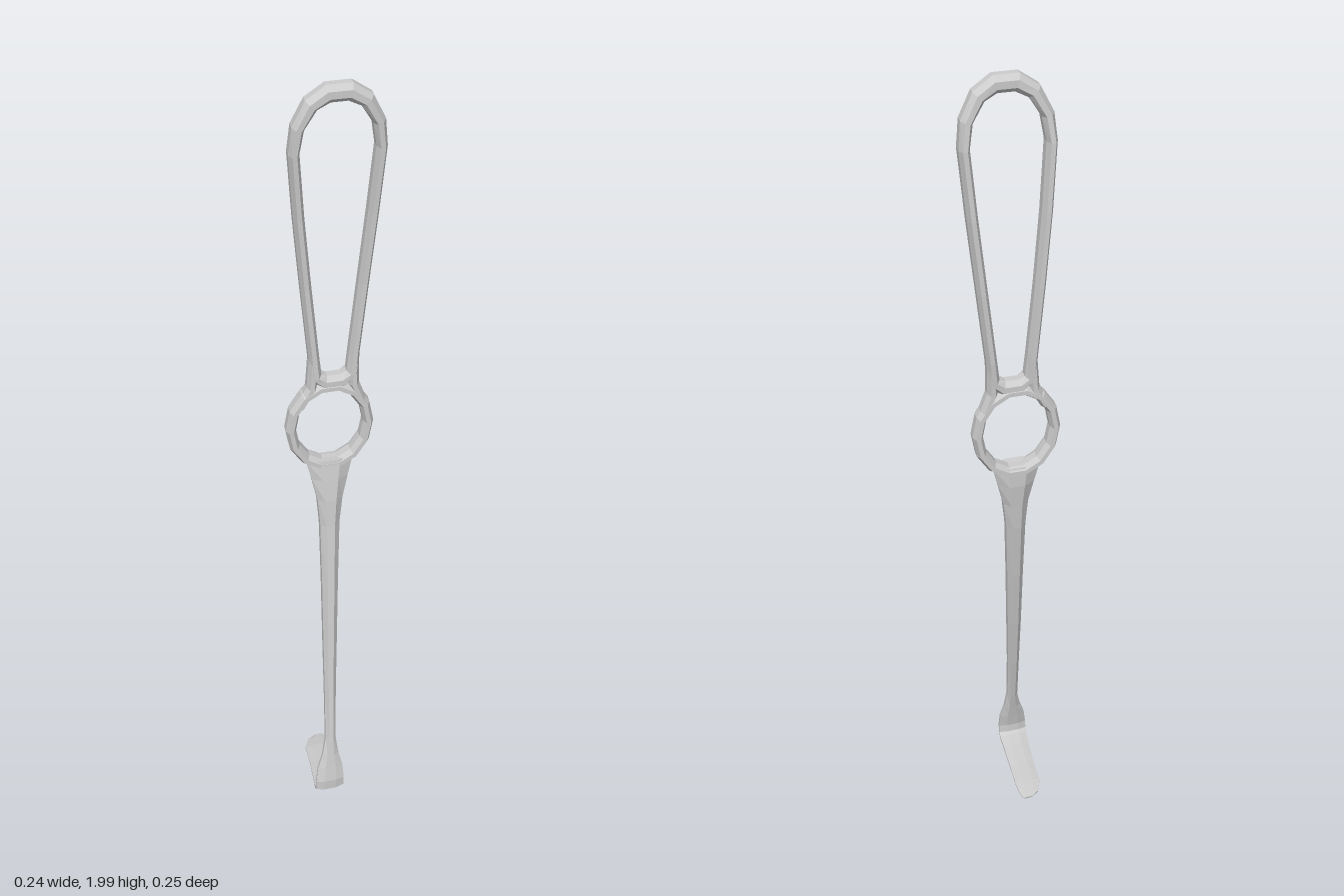
import * as THREE from 'three';

const SIDES = 8;
const material = new THREE.MeshStandardMaterial({ color: 0xcccccc, flatShading: true });

// Sweeps a chamfered section along rows of [x, y, z, half size on axis, half size across].
function sweep(name, rows, axis, closed) {
  const n = rows.length;
  const at = (i) => new THREE.Vector3(...rows[closed ? (i + n) % n : Math.min(Math.max(i, 0), n - 1)].slice(0, 3));
  const pos = [], index = [];
  rows.forEach((r, i) => {
    const t = at(i + 1).sub(at(i - 1)).normalize();
    const across = t.cross(axis).normalize();
    for (let j = 0; j < SIDES; j++) {
      const a = ((j + 0.5) / SIDES) * Math.PI * 2, k = 1 / Math.cos(Math.PI / SIDES);
      const p = at(i).addScaledVector(axis, Math.cos(a) * k * r[3]).addScaledVector(across, Math.sin(a) * k * r[4]);
      pos.push(p.x, p.y, p.z - 0.08 * p.x); // the whole tool is turned slightly about y
    }
  });
  for (let i = 0; i < (closed ? n : n - 1); i++) {
    for (let j = 0; j < SIDES; j++) {
      const k = (j + 1) % SIDES, m = (i + 1) % n;
      const a = i * SIDES + j, b = i * SIDES + k, c = m * SIDES + k, d = m * SIDES + j;
      index.push(a, b, d, b, c, d);
    }
  }
  if (!closed) {
    const e = (n - 1) * SIDES;
    for (let j = 1; j < SIDES - 1; j++) index.push(0, j + 1, j, e, e + j, e + j + 1);
  }
  const g = new THREE.BufferGeometry();
  g.setAttribute('position', new THREE.Float32BufferAttribute(pos, 3));
  g.setIndex(index);
  g.computeVertexNormals();
  const mesh = new THREE.Mesh(g, material);
  mesh.name = name;
  return mesh;
}

export function createModel() {
  const group = new THREE.Group();
  group.name = 'retractor';
  const X = new THREE.Vector3(1, 0, 0), Z = new THREE.Vector3(0, 0, 1);

  // Long tapered handle loop: half outline [half span, y, z, half depth, half width], mirrored
  const half = [
    [0.022, 1.243, -0.045, 0.026, 0.018],
    [0.045, 1.262, -0.045, 0.028, 0.015],
    [0.05, 1.32, -0.048, 0.029, 0.013],
    [0.069, 1.5, -0.05, 0.029, 0.013],
    [0.087, 1.68, -0.046, 0.031, 0.013],
    [0.1, 1.84, -0.037, 0.032, 0.013],
    [0.092, 1.9, -0.032, 0.03, 0.015],
    [0.063, 1.952, -0.028, 0.028, 0.018],
    [0.025, 1.975, -0.026, 0.025, 0.021],
  ];
  const lean = (y) => (y - 1.25) * 0.014;
  const right = half.map(([s, y, ...q]) => [lean(y) + s, y, ...q]);
  const left = half.map(([s, y, ...q]) => [lean(y) - s, y, ...q]).reverse();
  group.add(sweep('handleLoop', [...right, ...left], Z, true));

  // Finger ring
  const ring = [];
  for (let i = 0; i < 14; i++) {
    const a = (i / 14) * Math.PI * 2;
    ring.push([-0.011 + 0.097 * Math.cos(a), 1.12 + 0.113 * Math.sin(a), -0.045, 0.028, 0.013]);
  }
  group.add(sweep('fingerRing', ring, Z, true));

  // Shoulders joining the ring to the handle legs
  for (const s of [-1, 1]) {
    group.add(sweep('shoulder', [
      [-0.008 + s * 0.075, 1.185, -0.045, 0.027, 0.012],
      [-0.003 + s * 0.052, 1.232, -0.045, 0.027, 0.013],
      [s * 0.05, 1.3, -0.047, 0.027, 0.012],
    ], Z, false));
  }

  // Neck and slender curved shaft, flaring into the foot
  group.add(sweep('shaft', [
    [-0.012, 1.022, -0.043, 0.06, 0.024],
    [-0.012, 0.97, -0.038, 0.046, 0.028],
    [-0.013, 0.91, -0.03, 0.032, 0.029],
    [-0.015, 0.84, -0.023, 0.025, 0.029],
    [-0.019, 0.68, 0, 0.021, 0.028],
    [-0.024, 0.5, 0.028, 0.018, 0.025],
    [-0.029, 0.34, 0.057, 0.015, 0.021],
    [-0.033, 0.2, 0.085, 0.014, 0.016],
    [-0.035, 0.15, 0.095, 0.022, 0.013],
    [-0.037, 0.11, 0.103, 0.034, 0.011],
    [-0.039, 0.07, 0.111, 0.038, 0.01],
    [-0.04, 0.045, 0.11, 0.038, 0.01],
  ], X, false));

  // Flat blade bent backwards from the foot
  group.add(sweep('blade', [
    [-0.039, 0.07, 0.111, 0.038, 0.01],
    [-0.04, 0.045, 0.111, 0.038, 0.01],
    [-0.04, 0.033, 0.096, 0.038, 0.009],
    [-0.04, 0.026, 0.06, 0.036, 0.008],
    [-0.04, 0.018, -0.01, 0.034, 0.006],
    [-0.041, 0.012, -0.08, 0.034, 0.005],
    [-0.037, 0.007, -0.115, 0.025, 0.004],
    [-0.03, 0.005, -0.13, 0.012, 0.003],
  ], X, false));

  return group;
}
